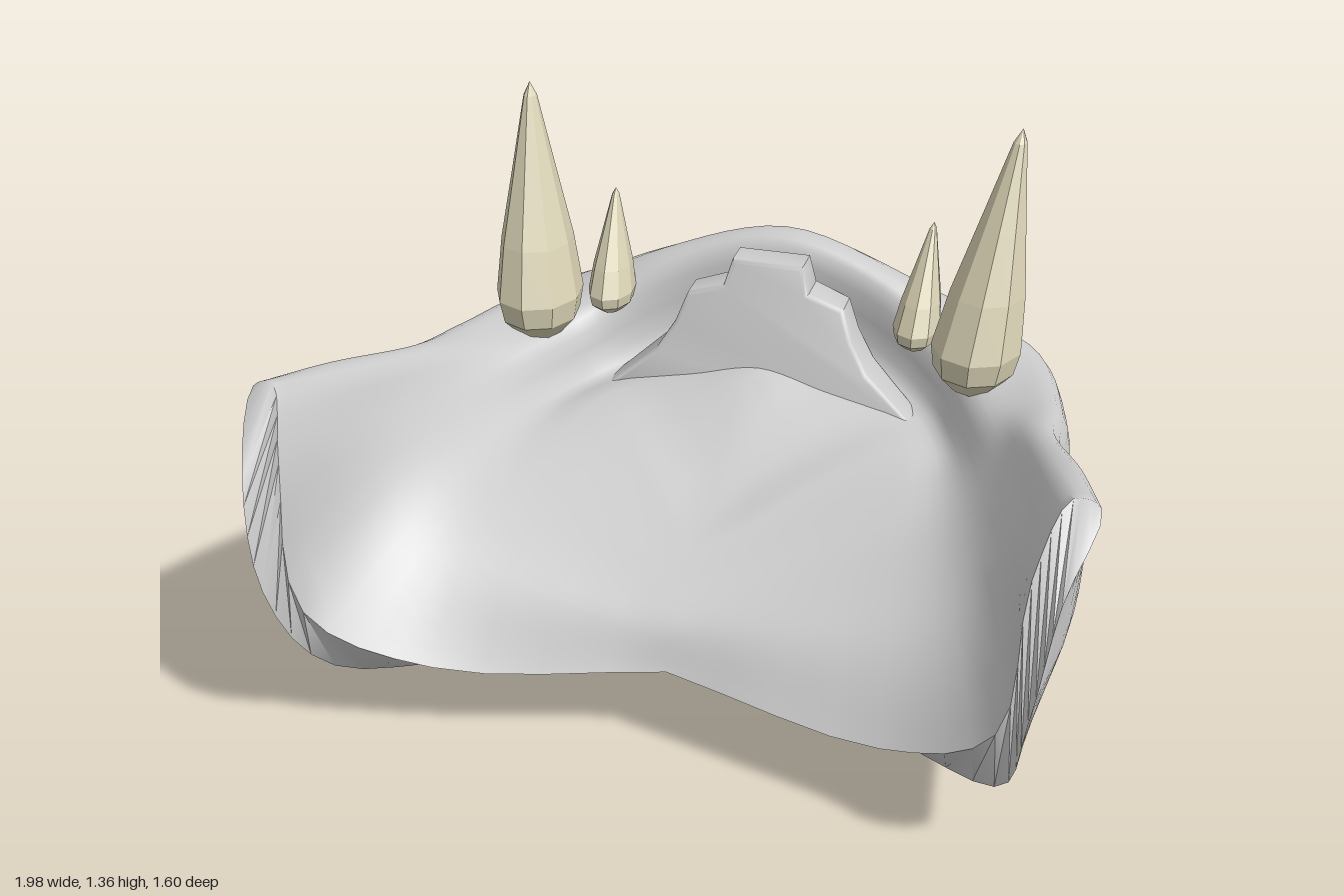
import * as THREE from 'three';
import { toCreasedNormals } from 'three/addons/utils/BufferGeometryUtils.js';

const V = (x, y, z) => new THREE.Vector3(x, y, z);
const bone = new THREE.MeshStandardMaterial({ color: 0xcccccc });
const ivory = new THREE.MeshStandardMaterial({ color: 0xd6cfb2, flatShading: true });

// U-shaped rail: points run from the left rear end to the chin, then mirror to the right
function rail(...p) {
  const half = p.map(q => V(...q));
  const other = half.slice(0, -1).reverse().map(q => V(-q.x, q.y, q.z));
  return new THREE.CatmullRomCurve3([...half, ...other], false, 'centripetal');
}

// Loft across the rails, closing both rear ends
function loft(rails, stations, rows) {
  const sections = [];
  for (let i = 0; i <= stations; i++) {
    const across = new THREE.CatmullRomCurve3(rails.map(r => r.getPoint(i / stations)), false, 'centripetal');
    sections.push(Array.from({ length: rows + 1 }, (_, k) => across.getPoint(k / rows)));
  }
  const pos = [];
  const quad = (a, b, c, d) => [a, b, c, a, c, d].forEach(v => pos.push(v.x, v.y, v.z));
  for (let i = 0; i < stations; i++) {
    const s = sections[i], t = sections[i + 1];
    for (let k = 0; k < rows; k++) quad(s[k], t[k], t[k + 1], s[k + 1]);
  }
  const a = sections[0], b = sections[stations];
  for (let k = 0; k < rows / 2; k++) {
    quad(a[k], a[k + 1], a[rows - k - 1], a[rows - k]);
    quad(b[k + 1], b[k], b[rows - k], b[rows - k - 1]);
  }
  const g = new THREE.BufferGeometry();
  g.setAttribute('position', new THREE.Float32BufferAttribute(pos, 3));
  return toCreasedNormals(g, 1.1);
}

function jawGeometry() {
  // underside, tucked in below the rear edge
  const keel = rail([0, .13, .3], [0, .08, 0], [0, .03, -.3], [0, 0, -.42]);
  const belly = rail([.54, .15, .46], [.48, .13, .25], [.42, .11, 0], [.34, .07, -.25], [.25, .04, -.4], [.13, .02, -.48], [0, .02, -.52]);
  // outer wall
  const lower = rail([.83, .2, .63], [.8, .2, .4], [.71, .2, .05], [.61, .22, -.25], [.44, .22, -.46], [.22, .22, -.59], [0, .23, -.64]);
  const middle = rail([.9, .52, .79], [.93, .48, .4], [.84, .46, .05], [.76, .46, -.25], [.57, .46, -.51], [.3, .48, -.63], [0, .5, -.67]);
  const upper = rail([.94, .8, .74], [.96, .7, .4], [.89, .64, .05], [.86, .62, -.25], [.73, .62, -.59], [.36, .65, -.73], [0, .67, -.79]);
  // rim and lip
  const lip = rail([.99, .94, .56], [.93, .89, .33], [.84, .8, .02], [.82, .74, -.25], [.71, .71, -.61], [.34, .78, -.75], [0, .79, -.8]);
  const rim = rail([.93, .96, .57], [.86, .88, .32], [.78, .79, 0], [.72, .73, -.25], [.62, .74, -.53], [.34, .87, -.62], [0, .95, -.68]);
  const inner = rail([.87, .82, .69], [.8, .76, .3], [.71, .7, 0], [.63, .69, -.22], [.51, .72, -.45], [.3, .85, -.56], [0, .93, -.6]);
  // inner wall foot and mouth floor
  const foot = rail([.83, .44, .74], [.7, .57, .35], [.61, .58, 0], [.54, .56, -.25], [.46, .56, -.42], [.28, .62, -.54], [0, .69, -.58]);
  const floor = rail([.56, .25, .63], [.53, .45, .42], [.47, .53, .1], [.43, .57, -.2], [.35, .58, -.31], [.18, .61, -.34], [0, .65, -.37]);
  const middleFloor = rail([0, .25, .49], [0, .37, .43], [0, .44, .28], [0, .48, .05], [0, .63, -.33]);
  return loft([keel, belly, lower, middle, upper, lip, rim, inner, foot, floor, middleFloor], 72, 40);
}

// Stepped ridge behind the lip, leaning back toward the top and curving with the jaw
function ridgeGeometry() {
  const half = [[.44, .54], [.29, .66], [.24, .74], [.21, .82], [.11, .85], [.09, .92]];
  const outline = [...half, ...half.map(([x, y]) => [-x, y]).reverse()];
  const shape = new THREE.Shape(outline.map(([x, y]) => new THREE.Vector2(x, y)));
  const g = new THREE.ExtrudeGeometry(shape, { depth: .15, bevelThickness: .02, bevelSize: .012, bevelSegments: 2 });
  const p = g.attributes.position;
  for (let i = 0; i < p.count; i++) {
    const x = p.getX(i), front = (p.getZ(i) + .02) / .19;
    const back = -.56 + .6 * x * x;
    const face = -.35 - .3 * (p.getY(i) - .55);
    p.setZ(i, back + front * (face - back));
  }
  return toCreasedNormals(g, .8);
}

// Faceted tusk: a lathed spike whose axis leans from base to tip
function tuskGeometry(base, tip, rx, rz) {
  const profile = [[0, 0], [.5, .02], [.9, .1], [1, .19], [.83, .4], [.53, .64], [.15, .95], [0, 1]];
  const g = new THREE.LatheGeometry(profile.map(([r, t]) => new THREE.Vector2(r, t)), 9);
  const p = g.attributes.position;
  for (let i = 0; i < p.count; i++) {
    const t = p.getY(i), lean = Math.max(0, (t - .15) / .85);
    const c = base.clone().lerp(tip, lean);
    p.setXYZ(i, c.x + p.getX(i) * rx, base.y + t * (tip.y - base.y), c.z + p.getZ(i) * rz);
  }
  g.computeVertexNormals();
  return g;
}

export function createModel() {
  const model = new THREE.Group();
  model.name = 'lowerJaw';
  const add = (parent, name, geometry, material) => {
    const m = new THREE.Mesh(geometry, material);
    m.name = name;
    parent.add(m);
  };
  add(model, 'jawBody', jawGeometry(), bone);
  add(model, 'mouthRidge', ridgeGeometry(), bone);

  // Tusk pairs, set slightly off centre
  const tusks = new THREE.Group();
  tusks.name = 'tusks';
  tusks.position.x = -.02;
  for (const [side, s] of [['left', 1], ['right', -1]]) {
    add(tusks, side + 'LargeTusk', tuskGeometry(V(s * .61, .68, -.37), V(s * .67, 1.36, -.525), .12, .14), ivory);
    add(tusks, side + 'SmallTusk', tuskGeometry(V(s * .435, .73, -.475), V(s * .45, 1.055, -.58), .065, .09), ivory);
  }
  model.add(tusks);
  return model;
}
